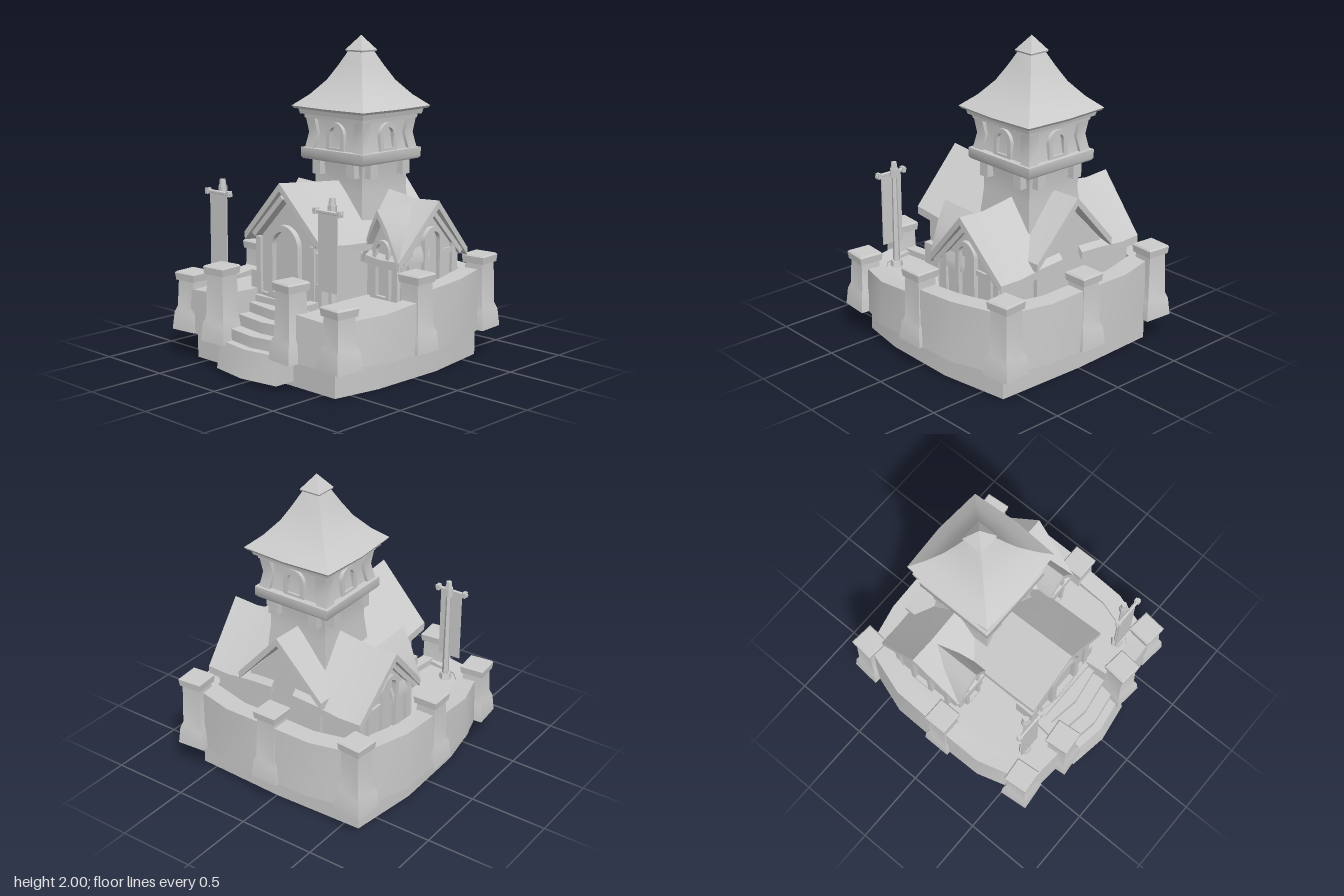
import * as THREE from 'three';
import { toCreasedNormals } from 'three/addons/utils/BufferGeometryUtils.js';

const mat = new THREE.MeshStandardMaterial({ color: 0xcccccc, side: THREE.DoubleSide });

function add(parent, name, geo, x = 0, y = 0, z = 0, ry = 0) {
  const m = new THREE.Mesh(toCreasedNormals(geo, 0.6), mat);
  m.name = name;
  m.position.set(x, y, z);
  m.rotation.y = ry;
  parent.add(m);
  return m;
}
const box = (w, h, d) => new THREE.BoxGeometry(w, h, d);

// Closed solid through equal-length cross-sections; winding is set from its volume.
function loft(sections) {
  const n = sections[0].length, tris = [];
  const quad = (a, b, c, d) => tris.push([a, b, c], [a, c, d]);
  for (let s = 0; s + 1 < sections.length; s++)
    for (let i = 0; i < n; i++) {
      const j = (i + 1) % n, A = sections[s], B = sections[s + 1];
      quad(A[i], A[j], B[j], B[i]);
    }
  const cap = (S, flip) => {
    for (let i = 0; i < Math.floor((n - 1) / 2); i++) {
      const q = [S[i], S[n - 1 - i], S[n - 2 - i], S[i + 1]];
      quad(...(flip ? q.reverse() : q));
    }
  };
  cap(sections[0], false);
  cap(sections[sections.length - 1], true);
  const v = p => new THREE.Vector3(...p);
  let volume = 0;
  for (const [a, b, c] of tris) volume += v(a).dot(v(b).cross(v(c)));
  const solid = tris.filter(([a, b, c]) => v(b).sub(v(a)).cross(v(c).sub(v(a))).length() > 1e-9);
  const pos = solid.flatMap(([a, b, c]) => (volume < 0 ? [a, c, b] : [a, b, c])).flat();
  const g = new THREE.BufferGeometry();
  g.setAttribute('position', new THREE.Float32BufferAttribute(pos, 3));
  g.computeVertexNormals();
  return g;
}

// Upright solid on a plan outline of [x, z] points.
const prism = (pts, y0, y1, shift = 0) =>
  loft([pts.map(([x, z]) => [x, y0, z]), pts.map(([x, z]) => [x + shift, y1, z])]);
const mirrorZ = pts => [...pts, ...pts.filter(p => p[1] !== 0).map(([x, z]) => [x, -z]).reverse()];

// Square rings of [half width, y]; bow pushes the middle of each side outward.
const squareTower = (rings, bow = 1) => loft(rings.map(([r, y]) => {
  const b = r * bow;
  return [[-r, y, -r], [0, y, -b], [r, y, -r], [b, y, 0], [r, y, r], [0, y, b], [-r, y, r], [-b, y, 0]];
}));

// Saddle roof; each section is [t at ridge, t at eave, ridge y, eave y, half width].
function saddleRoof(sections, map, bulge = 0, th = 0.05) {
  return loft(sections.map(([t, te, ry, ey, h]) => {
    const top = [-1, -0.5, 0, 0.5, 1].map(k => {
      const a = Math.abs(k);
      return [t + (te - t) * a, k * h, ry + (ey - ry) * a + (a === 0.5 ? bulge : 0)];
    });
    const under = top.map(([tt, w, y]) => [tt, w, y - th]).reverse();
    return [...top, ...under].map(p => map(...p));
  }));
}

// House body with a gabled end, from t0 to t1.
const gableBody = (t0, t1, half, y0, eave, ridge, map) => loft([t0, t1].map(t =>
  [[-half, y0], [-half, eave], [0, ridge], [half, eave], [half, y0]].map(([w, y]) => map(t, w, y))));

// Round-headed frame facing +z, standing on y = 0.
function archFrame(w, h, border, depth) {
  const trace = (S, r, base) => {
    S.moveTo(-r, base);
    S.lineTo(r, base);
    S.lineTo(r, h - w / 2);
    S.absarc(0, h - w / 2, r, 0, Math.PI, false);
    S.lineTo(-r, base);
    return S;
  };
  const shape = trace(new THREE.Shape(), w / 2, 0);
  shape.holes.push(trace(new THREE.Path(), w / 2 - border, border * 0.6));
  return new THREE.ExtrudeGeometry(shape, { depth, bevelEnabled: false, curveSegments: 8 });
}

function pillar(parent, x, z, top, ry) {
  const g = new THREE.Group();
  g.name = 'wallPillar';
  g.position.set(x, 0, z);
  g.rotation.y = ry;
  add(g, 'pillarShaft', squareTower([[0.095, 0.18], [0.085, 0.29], [0.07, 0.33], [0.063, top - 0.04]]));
  add(g, 'pillarCap', squareTower([[0.075, top - 0.055], [0.08, top - 0.01], [0.072, top]]));
  parent.add(g);
}

function buildGrounds(g) {
  add(g, 'foundation', prism(mirrorZ([[-0.61, 0.6], [-0.3, 0.655], [0.2, 0.665], [0.65, 0.6], [0.67, 0]]), 0, 0.19));
  add(g, 'courtyard', prism(mirrorZ([[-0.46, 0.62], [-0.3, 0.66], [0.3, 0.66], [0.6, 0.58], [0.68, 0.3]]), 0.18, 0.44));

  // Bowed wall: plan point and top height, running from gate to gate
  const half = [[-0.69, 0.32, 0.47], [-0.67, 0.58, 0.45], [-0.6, 0.645, 0.45], [-0.32, 0.73, 0.465], [-0.02, 0.735, 0.49],
    [0.02, 0.735, 0.54], [0.34, 0.73, 0.56], [0.68, 0.62, 0.56], [0.75, 0.31, 0.555], [0.76, 0, 0.565]];
  const path = [...half, ...half.slice(0, -1).map(([x, z, y]) => [x, -z, y]).reverse()];
  add(g, 'courtyardWall', loft(path.map(([x, z, y]) => [[x * 1.02, 0.18, z * 1.02], [x, y, z], [x * 0.84, y, z * 0.85], [x * 0.84, 0.18, z * 0.85]])));

  for (const s of [1, -1]) {
    add(g, 'courtyardSide', prism([[-0.45, 0.25], [-0.62, 0.25], [-0.6, 0.57], [-0.45, 0.63]].map(([x, z]) => [x, z * s]), 0.18, 0.44));
    add(g, 'stairKerb', box(0.18, 0.3, 0.07), -0.53, 0.33, 0.27 * s, 0.1 * s);
    pillar(g, -0.61, 0.635 * s, 0.55, -0.1 * s);
    pillar(g, -0.665, 0.3 * s, 0.65, -0.1 * s);
    pillar(g, 0, 0.68 * s, 0.65, 0);
    pillar(g, 0.68, 0.605 * s, 0.65, 0.08 * s);
  }
  pillar(g, 0.7, 0, 0.65, 0);

  // Entrance steps with a bowed front edge
  [0.2, 0.27, 0.34, 0.4, 0.46].forEach((top, i) => {
    const x = -0.79 + i * 0.083;
    add(g, 'step', prism([[-0.38, -0.26], [x + 0.04, -0.26], [x, 0], [x + 0.04, 0.26], [-0.38, 0.26]], i ? 0.18 : 0.03, top, i ? 0 : 0.03));
  });
}

function buildHall(g) {
  const alongX = (t, w, y) => [t, y, w];
  add(g, 'hallBody', gableBody(-0.41, 0.57, 0.26, 0.4, 0.76, 1.03, alongX));
  add(g, 'hallRoof', saddleRoof([[-0.47, -0.45, 1.16, 0.82, 0.33], [-0.2, -0.2, 1.135, 0.795, 0.33], [0.05, 0.05, 1.115, 0.78, 0.325],
    [0.35, 0.35, 1.09, 0.76, 0.315], [0.64, 0.625, 1.1, 0.76, 0.31]], alongX));
  add(g, 'doorFrame', archFrame(0.26, 0.44, 0.04, 0.035), -0.41, 0.46, 0, -Math.PI / 2);
  for (const s of [1, -1]) {
    add(g, 'hallButtress', box(0.13, 0.18, 0.08), -0.355, 0.49, 0.265 * s);
    add(g, 'hallPost', box(0.04, 0.36, 0.04), -0.41, 0.62, 0.23 * s);
    const brace = add(g, 'gableBrace', box(0.03, 0.04, 0.36), -0.42, 0.94, 0.145 * s);
    brace.rotation.x = 0.8 * s;
  }
}

function buildWing(g, s) {
  // Side wing running out along z
  const alongZ = (t, w, y) => [0.28 + w, y, t * s];
  add(g, 'wingBody', gableBody(0.1, 0.54, 0.26, 0.4, 0.69, 0.98, alongZ));
  add(g, 'wingRoof', saddleRoof([[0.08, 0.08, 1.08, 0.72, 0.32], [0.25, 0.25, 1.05, 0.71, 0.32], [0.43, 0.42, 1.025, 0.69, 0.32], [0.605, 0.57, 1.035, 0.695, 0.32]], alongZ));
  const front = new THREE.Group();
  front.name = 'wingGable';
  front.position.set(0.28, 0, 0.54 * s);
  front.rotation.y = s > 0 ? 0 : Math.PI;
  add(front, 'wingWindowFrame', archFrame(0.17, 0.4, 0.03, 0.03), 0, 0.47, 0);
  for (const k of [1, -1]) {
    add(front, 'wingPost', box(0.035, 0.34, 0.03), 0.2 * k, 0.57, 0.005);
    add(front, 'wingBeam', box(0.12, 0.03, 0.025), 0.14 * k, 0.7, 0.003);
    const b = add(front, 'wingBrace', box(0.38, 0.035, 0.03), 0.14 * k, 0.815, 0.008);
    b.rotation.z = -0.82 * k;
  }
  g.add(front);

  // Steep cross gable facing the entrance side
  const alongX = (t, w, y) => [t, y, 0.42 * s + w];
  add(g, 'crossGableBody', gableBody(-0.01, 0.25, 0.11, 0.4, 0.72, 0.94, alongX));
  add(g, 'crossGableRoof', saddleRoof([[-0.07, -0.045, 1.0, 0.71, 0.14], [0.08, 0.08, 0.99, 0.71, 0.14], [0.25, 0.25, 0.99, 0.71, 0.14]], alongX, 0.025));
  add(g, 'crossGableWindow', archFrame(0.13, 0.36, 0.025, 0.025), -0.01, 0.45, 0.42 * s, -Math.PI / 2);
}

function buildTower(g) {
  const t = new THREE.Group();
  t.name = 'tower';
  t.position.x = 0.235;
  g.add(t);
  add(t, 'towerShaft', squareTower([[0.225, 0.7], [0.215, 0.9], [0.2, 1.05], [0.2, 1.15], [0.212, 1.24]]));
  add(t, 'towerGallery', squareTower([[0.255, 1.235], [0.265, 1.25], [0.265, 1.305]]));
  add(t, 'belfryCore', squareTower([[0.225, 1.3], [0.208, 1.4], [0.22, 1.53]]));
  add(t, 'belfryBeam', squareTower([[0.247, 1.49], [0.25, 1.52]]));
  add(t, 'eaveBeam', squareTower([[0.268, 1.515], [0.278, 1.56]]));
  for (let i = 0; i < 4; i++) {
    const side = new THREE.Group();
    side.name = 'towerSide';
    side.rotation.y = i * Math.PI / 2;
    for (const k of [1, -1]) add(side, 'corbel', box(0.065, 0.09, 0.07), 0.145 * k, 1.192, 0.215);
    add(side, 'belfryWindow', archFrame(0.15, 0.175, 0.03, 0.035), 0, 1.303, 0.2);
    // Corner post, pinched at mid height
    add(side, 'cornerPost', loft([[0.247, 1.3], [0.228, 1.4], [0.243, 1.5]].map(([r, y]) =>
      [[r, y, r], [r, y, r - 0.075], [r - 0.075, y, r - 0.075], [r - 0.075, y, r]])));
    t.add(side);
  }
  add(t, 'towerRoof', squareTower([[0.295, 1.55], [0.305, 1.565], [0.225, 1.635], [0.15, 1.725], [0.1, 1.815], [0.055, 1.905]], 1.06));
  add(t, 'roofTip', squareTower([[0.066, 1.9], [0.07, 1.91], [0.001, 2.0]]));
}

function buildBanner(g, s) {
  const b = new THREE.Group();
  b.name = 'bannerPole';
  b.position.set(-0.5, 0, 0.47 * s);
  g.add(b);
  add(b, 'poleFoot', new THREE.CylinderGeometry(0.035, 0.045, 0.04, 5), 0, 0.455, 0, Math.PI / 2);
  add(b, 'pole', new THREE.CylinderGeometry(0.016, 0.023, 0.64, 5), 0, 0.77, 0, Math.PI / 2);
  add(b, 'poleCollar', new THREE.CylinderGeometry(0.028, 0.028, 0.055, 6), 0, 1.065, 0);
  add(b, 'poleTip', new THREE.CylinderGeometry(0.018, 0.024, 0.05, 6), 0, 1.11, 0);
  const bar = add(b, 'crossbar', new THREE.CylinderGeometry(0.012, 0.012, 0.23, 6), -0.035, 1.055, 0);
  bar.rotation.x = Math.PI / 2;
  for (const k of [1, -1]) add(b, 'barKnob', box(0.035, 0.035, 0.022), -0.035, 1.055, 0.095 * k);
  add(b, 'banner', box(0.008, 0.46, 0.15), -0.035, 0.82, 0);
}

export function createModel() {
  const g = new THREE.Group();
  g.name = 'walledChapel';
  buildGrounds(g);
  buildHall(g);
  buildTower(g);
  for (const s of [1, -1]) {
    buildWing(g, s);
    buildBanner(g, s);
  }
  return g;
}
